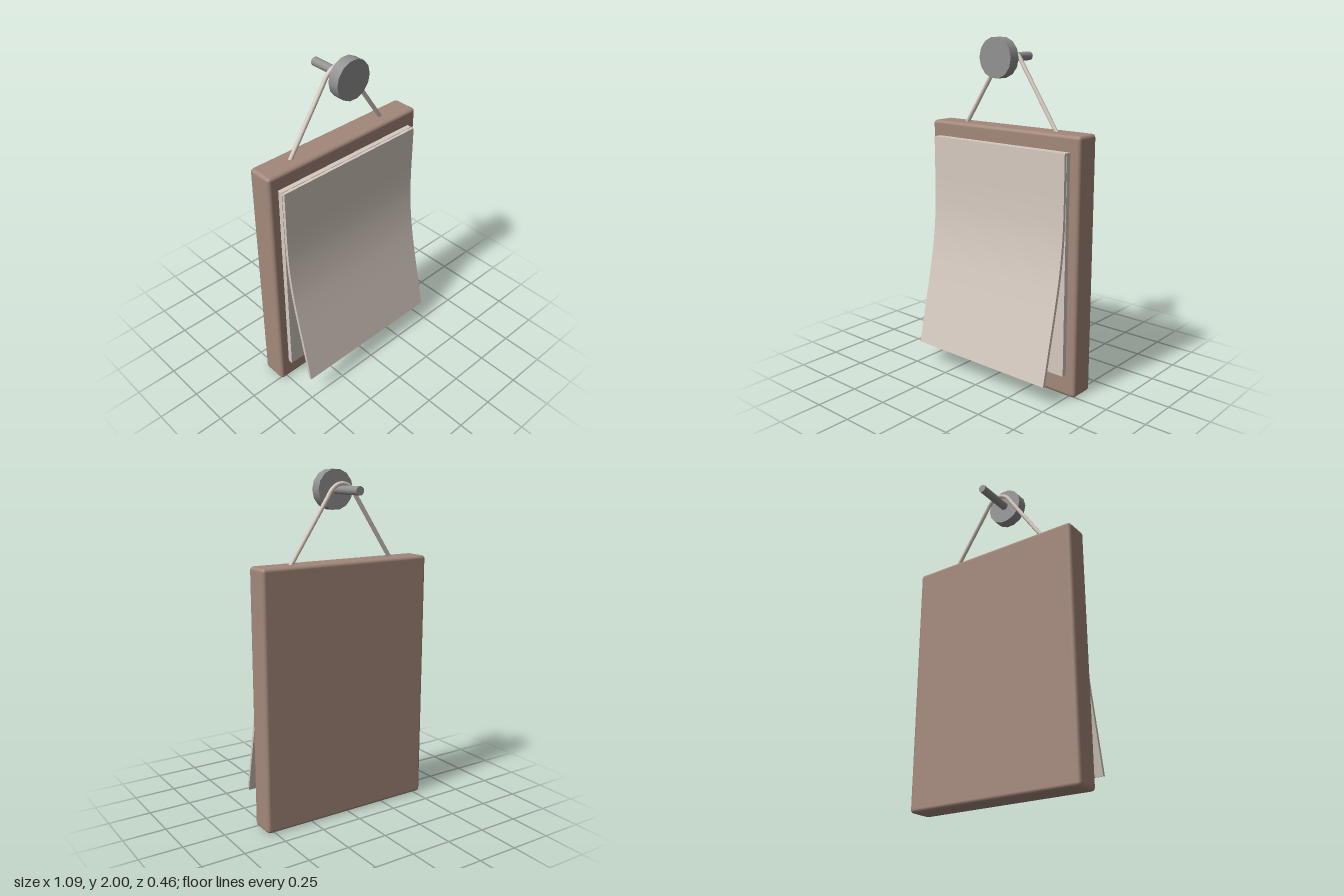
import * as THREE from 'three';
import { toCreasedNormals } from 'three/addons/utils/BufferGeometryUtils.js';
import { RoundedBoxGeometry } from 'three/addons/geometries/RoundedBoxGeometry.js';

const material = (name, color) => {
  const m = new THREE.MeshStandardMaterial({ color });
  m.name = name;
  return m;
};

export function createModel() {
  const group = new THREE.Group();
  const wood = material('wood', 0xa3887a);
  const paper = material('paper', 0xd6cac0);
  const metal = material('metal', 0x929292);

  const add = (name, geometry, mat, x = 0, y = 0, z = 0) => {
    const mesh = new THREE.Mesh(geometry, mat);
    mesh.name = name;
    mesh.position.set(x, y, z);
    group.add(mesh);
    return mesh;
  };

  // Wooden backing board with softened edges
  add('board', new RoundedBoxGeometry(1.09, 1.5, 0.156, 2, 0.02), wood, 0, 0.75, -0.059);

  // Stack of pages lying flat on the board
  add('pagePad', new THREE.BoxGeometry(0.97, 1.28, 0.03), paper, 0, 1.27 / 2 + 0.135, 0.033);

  // Front page: flat at the top, curling forward toward the bottom
  const curve = new THREE.SplineCurve([
    [0.06, 1.41], [0.06, 1.24], [0.061, 1.08], [0.068, 0.92], [0.09, 0.74],
    [0.125, 0.56], [0.172, 0.35], [0.221, 0.13],
  ].map(([z, y]) => new THREE.Vector2(z, y)));
  const centre = curve.getPoints(28);
  const half = 0.009;
  const front = [], back = [];
  centre.forEach((p, i) => {
    const t = curve.getTangent(i / 28);
    const n = new THREE.Vector2(-t.y, t.x).multiplyScalar(half);
    front.push(p.clone().add(n));
    back.unshift(p.clone().sub(n));
  });
  const page = new THREE.ExtrudeGeometry(new THREE.Shape([...front, ...back]), {
    depth: 0.97, bevelEnabled: false,
  });
  page.translate(0, 0, -0.485).rotateY(-Math.PI / 2);
  add('curledPage', toCreasedNormals(page, 0.6), paper);

  // Cord looped over the nail
  const cord = new THREE.CurvePath();
  const v = (x, y) => new THREE.Vector3(x, y, 0);
  cord.add(new THREE.LineCurve3(v(-0.343, 1.48), v(-0.09, 1.857)));
  cord.add(new THREE.CubicBezierCurve3(v(-0.09, 1.857), v(-0.045, 1.946), v(0.045, 1.946), v(0.09, 1.857)));
  cord.add(new THREE.LineCurve3(v(0.09, 1.857), v(0.343, 1.48)));
  add('cord', new THREE.TubeGeometry(cord, 64, 0.0125, 10, false), paper, 0, 0, -0.06);

  // Nail: broad faceted head and a shaft reaching back into the wall
  const rod = (radius, length, sides) =>
    new THREE.CylinderGeometry(radius, radius, length, sides)
      .rotateY(Math.PI / sides).rotateX(Math.PI / 2);
  add('nailHead', rod(0.114, 0.067, 14), metal, 0, 1.889, 0.036);
  add('nailShaft', rod(0.025, 0.25, 14), metal, 0, 1.889, -0.108);

  return group;
}
